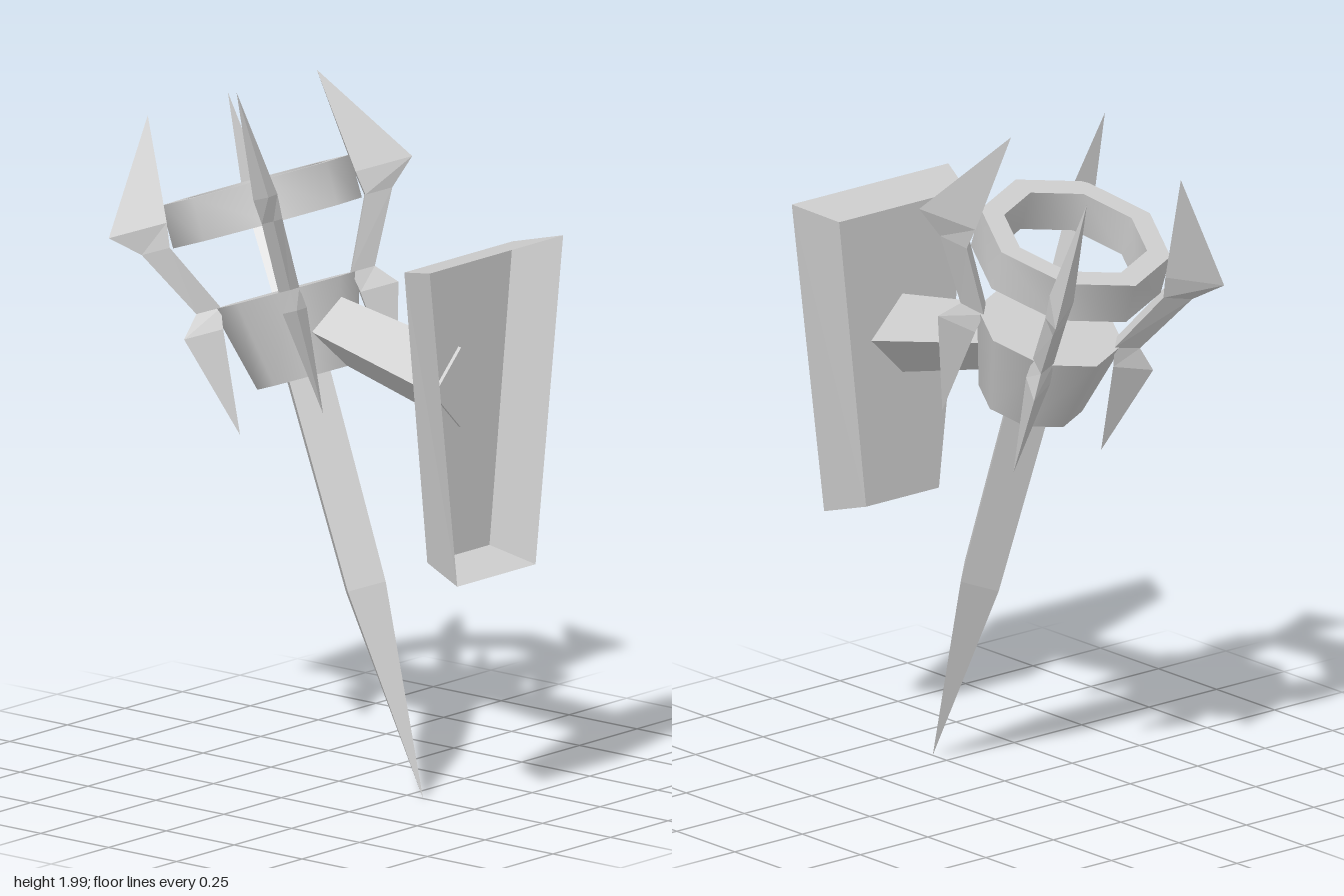
import * as THREE from 'three';
import { toCreasedNormals } from 'three/addons/utils/BufferGeometryUtils.js';

const flat = new THREE.MeshStandardMaterial({ color: 0xcccccc, flatShading: true });
const flatOpen = new THREE.MeshStandardMaterial({ color: 0xcccccc, flatShading: true, side: THREE.DoubleSide });
const smooth = new THREE.MeshStandardMaterial({ color: 0xcccccc });

// Skin a list of loops; each loop runs counter-clockwise seen from the next one.
function loft(loops) {
  const pos = [];
  for (let i = 0; i + 1 < loops.length; i++) {
    const lo = loops[i], hi = loops[i + 1], n = lo.length;
    for (let j = 0; j < n; j++) {
      const k = (j + 1) % n;
      pos.push(...lo[j], ...lo[k], ...hi[k], ...lo[j], ...hi[k], ...hi[j]);
    }
  }
  const g = new THREE.BufferGeometry();
  g.setAttribute('position', new THREE.Float32BufferAttribute(pos, 3));
  g.computeVertexNormals();
  return g;
}

function add(parent, name, geometry, material) {
  const mesh = new THREE.Mesh(geometry, material);
  mesh.name = name;
  parent.add(mesh);
  return mesh;
}

const lathe = (points, sides) =>
  new THREE.LatheGeometry(points.map(([r, y]) => new THREE.Vector2(r, y)), sides);

// Claw: triangular section, sharp outer ridge, flat inner side
function clawGeometry() {
  const stations = [ // height, inner radius, outer radius, half width
    [1.12, 0.23, 0.23, 0],
    [1.42, 0.2, 0.312, 0.035],
    [1.48, 0.19, 0.26, 0.03],
    [1.68, 0.285, 0.365, 0.03],
    [1.75, 0.275, 0.442, 0.035],
    [2.055, 0.246, 0.246, 0],
  ];
  return loft(stations.map(([y, a, b, w]) => [[0, y, b], [w, y, a], [-w, y, a]]));
}

export function createModel() {
  const model = new THREE.Group();
  model.name = 'wallTorch';

  // Wall plate: tapered tray, open towards the front
  const trapezoid = (z, top, yTop, bottom, yBottom) =>
    [[-bottom, yBottom, z], [bottom, yBottom, z], [top, yTop, z], [-top, yTop, z]];
  add(model, 'wallPlate', loft([
    Array(4).fill([0, 1.2, 0.44]),
    trapezoid(0.44, 0.235, 1.6, 0.135, 0.74),
    trapezoid(0.58, 0.29, 1.63, 0.17, 0.7),
  ]), flatOpen);

  // Bracket arm: diamond section rising from plate to cup
  const diamond = (z, y, r) => [[r, y, z], [0, y + r, z], [-r, y, z], [0, y - r, z]];
  add(model, 'bracketArm', loft([
    diamond(-0.1, 1.343, 0.09),
    diamond(0.45, 1.223, 0.116),
    Array(4).fill([0, 1.223, 0.45]),
  ]), flat);

  // Leaning torch, built upright from its tip
  const torch = new THREE.Group();
  torch.name = 'torch';
  torch.position.set(0, 0.01, 0.31);
  torch.rotation.x = THREE.MathUtils.degToRad(-20);
  model.add(torch);

  add(torch, 'shaft', lathe([[0, 0], [0.078, 0.617], [0.085, 1.25]], 4), flat);

  add(torch, 'cup', new THREE.CylinderGeometry(0.212, 0.15, 0.25, 8), smooth).position.y = 1.355;

  const ring = lathe([[0.275, 1.675], [0.275, 1.8], [0.207, 1.8], [0.207, 1.675], [0.275, 1.675]], 8);
  add(torch, 'ring', toCreasedNormals(ring, 1), smooth);

  // Four claws on the diagonals
  const claw = clawGeometry();
  for (let i = 0; i < 4; i++) {
    add(torch, 'claw', claw, flat).rotation.y = Math.PI / 4 + (i * Math.PI) / 2;
  }
  return model;
}
